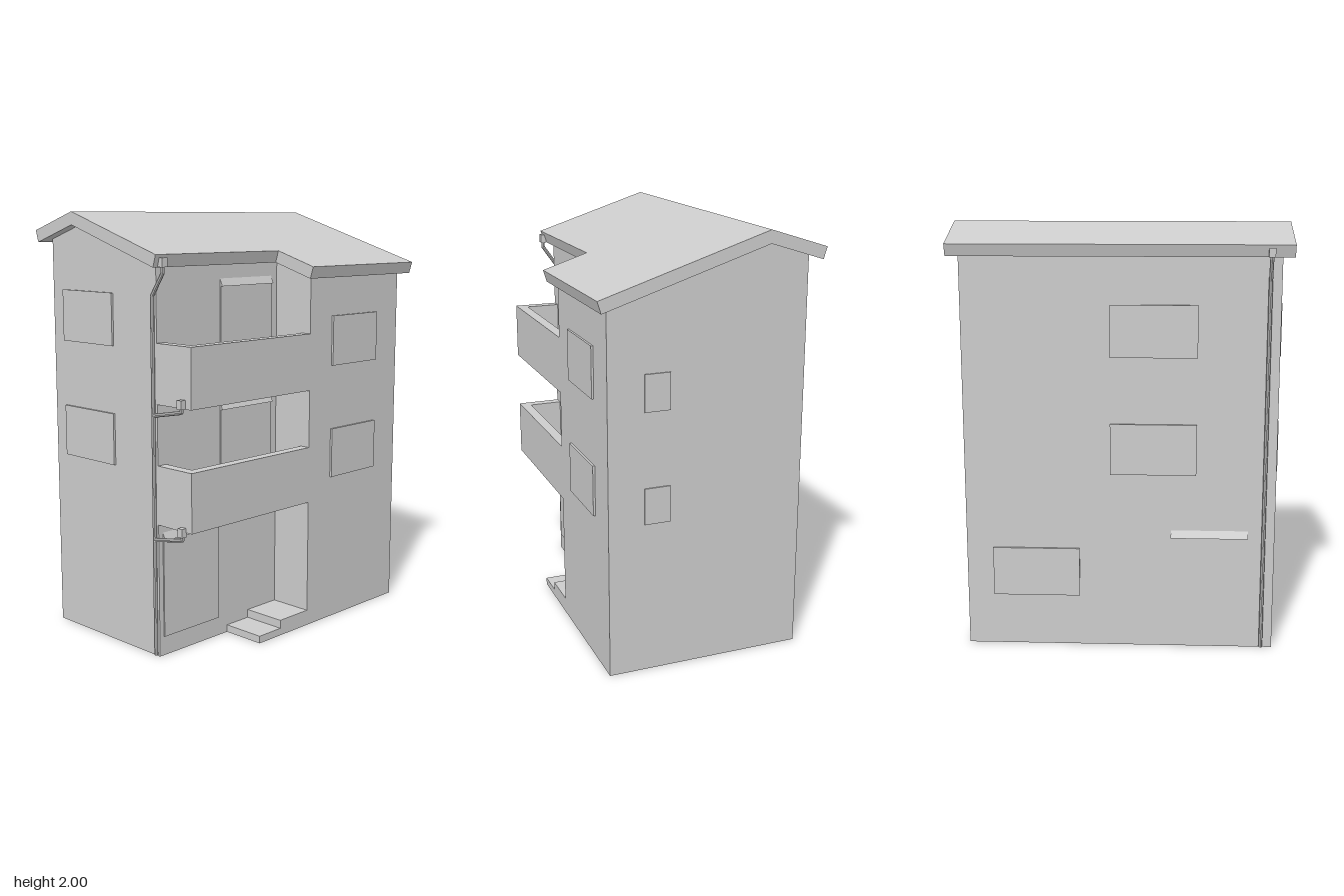
import * as THREE from 'three';

const mat = new THREE.MeshStandardMaterial({ color: 0xcccccc, flatShading: true });
const thin = new THREE.MeshStandardMaterial({ color: 0xcccccc, flatShading: true, side: THREE.DoubleSide });

// main dimensions
const L = -0.725, R = 0.725, STEP = 0.05;            // side walls and the return wall
const BACK = -0.465, RECESS = 0.26, FRONT = 0.475;   // back wall, recessed front, main front
const RIDGE = -0.255, SLOPE = 0.318;
const soffit = z => 1.94 - SLOPE * Math.abs(z - RIDGE);

export function createModel() {
  const house = new THREE.Group();
  house.name = 'house';

  const add = (name, geometry, material = mat) => {
    const mesh = new THREE.Mesh(geometry, material);
    mesh.name = name;
    house.add(mesh);
    return mesh;
  };

  // box given by its min and max corners
  const box = (name, x0, x1, y0, y1, z0, z1) => {
    add(name, new THREE.BoxGeometry(x1 - x0, y1 - y0, z1 - z0))
      .position.set((x0 + x1) / 2, (y0 + y1) / 2, (z0 + z1) / 2);
  };

  const shapeOf = pts => new THREE.Shape(pts.map(p => new THREE.Vector2(...p)));

  // flat wall: a 2D outline facing the given way at the given offset
  const wall = (name, pts, angle, x, z) => {
    const mesh = add(name, new THREE.ShapeGeometry(shapeOf(pts)), thin);
    mesh.rotation.y = angle;
    mesh.position.set(x, 0, z);
  };

  // (z, y) outline extruded along x
  const prismX = (name, pts, x0, x1) => {
    const g = new THREE.ExtrudeGeometry(shapeOf(pts.map(([z, y]) => [-z, y])), { depth: x1 - x0, bevelEnabled: false });
    g.rotateY(Math.PI / 2);
    add(name, g).position.x = x0;
  };

  // walls, open underneath
  const S1 = -0.29, S2 = -0.145, H1 = 0.035, H2 = 0.075; // entrance step edges and heights
  wall('mainFrontWall', [[STEP, 0], [R, 0], [R, soffit(FRONT)], [STEP, soffit(FRONT)]], 0, 0, FRONT);
  wall('recessedFrontWall', [[L, 0], [S1, 0], [S1, H1], [S2, H1], [S2, H2], [STEP, H2],
    [STEP, soffit(RECESS)], [L, soffit(RECESS)]], 0, 0, RECESS);
  wall('backWall', [[-R, 0], [-L, 0], [-L, soffit(BACK)], [-R, soffit(BACK)]], Math.PI, 0, BACK);
  wall('leftWall', [[-FRONT, 0], [-BACK, 0], [-BACK, soffit(BACK)], [-RIDGE, 1.94], [-FRONT, soffit(FRONT)]],
    Math.PI / 2, R, 0);
  wall('rightWall', [[BACK, 0], [RECESS, 0], [RECESS, soffit(RECESS)], [RIDGE, 1.94], [BACK, soffit(BACK)]],
    -Math.PI / 2, L, 0);
  wall('returnWall', [[RECESS, H2], [FRONT, H2], [FRONT, soffit(FRONT)], [RECESS, soffit(RECESS)]],
    -Math.PI / 2, STEP, 0);

  // entrance steps, hollow below: front face, then treads and risers
  wall('stepsFront', [[S1, 0], [STEP, 0], [STEP, H2], [S2, H2], [S2, H1], [S1, H1]], 0, 0, FRONT);
  const depth = FRONT - RECESS, midZ = (FRONT + RECESS) / 2;
  for (const [x0, x1, y0, y1] of [[S1, S2, 0, H1], [S2, STEP, H1, H2]]) {
    const tread = add('stepTread', new THREE.PlaneGeometry(x1 - x0, depth), thin);
    tread.rotation.x = -Math.PI / 2;
    tread.position.set((x0 + x1) / 2, y1, midZ);
    const riser = add('stepRiser', new THREE.PlaneGeometry(depth, y1 - y0), thin);
    riser.rotation.y = -Math.PI / 2;
    riser.position.set(x0, (y0 + y1) / 2, midZ);
  }

  // roof halves, the +x half reaching further forward
  const roof = (name, x0, x1, front) => {
    const top = z => 2 - SLOPE * Math.abs(z - RIDGE), back = -0.527, dz = 0.017, dy = 0.055;
    prismX(name, [[front, top(front)], [RIDGE, 2], [back, top(back)], [back + dz, top(back) - dy],
      [RIDGE, 1.94], [front - dz, top(front) - dy]].reverse(), x0, x1);
  };
  roof('roofRecessedSide', -0.775, 0, 0.315);
  roof('roofMainSide', 0, 0.775, 0.53);

  // balconies: floor slab with front and side parapets
  for (const y of [0.62, 1.165]) {
    box('balconyFloor', L, STEP, y, y + 0.03, RECESS, FRONT);
    box('balconyFrontParapet', L, STEP, y, y + 0.27, FRONT - 0.05, FRONT);
    box('balconySideParapet', L, L + 0.05, y, y + 0.27, RECESS, FRONT - 0.05);
  }

  // windows
  const T = 0.01;
  for (const y of [0.72, 1.27]) {
    box('frontWindow', 0.21, 0.55, y, y + 0.24, FRONT - T, FRONT + T);
    box('leftWindow', R - T, R + 0.006, y - (y > 1 ? 0.03 : 0), y + (y > 1 ? 0.14 : 0.17), 0.185, 0.305);
  }
  for (const y of [0.85, 1.4]) {
    box('backWindow', -0.355, 0.045, y, y + 0.24, BACK - T, BACK + T);
    box('rightWindow', L - T, L + T, y, y + 0.24, -0.385, -0.03);
  }
  box('backLowWindow', 0.19, 0.6, 0.25, 0.485, BACK - T, BACK + T);

  // doors, each with a sloping hood along the top
  const door = (name, x0, x1, y0, z, dir) => {
    const top = y0 + 0.49, low = top - 0.035;
    const [a, b] = [z - dir * T, z + dir * 0.006].sort((p, q) => p - q);
    box(name, x0, x1, y0, low, a, b);
    const hood = [[z - dir * T, low], [z + dir * 0.016, low], [z, top], [z - dir * T, top]];
    prismX(name + 'Hood', dir > 0 ? hood.reverse() : hood, x0, x1);
  };
  door('groundDoor', -0.7, -0.35, 0.09, RECESS, 1);
  door('lowerBalconyDoor', -0.335, 0.01, 0.64, RECESS, 1);
  door('upperBalconyDoor', -0.335, 0.01, 1.21, RECESS, 1);
  door('backDoor', -0.6, -0.24, 0.09, BACK, -1);

  // rainwater pipes through the given points
  const pipe = (name, pts) => {
    const path = new THREE.CurvePath();
    const v = pts.map(p => new THREE.Vector3(...p));
    for (let i = 1; i < v.length; i++) {
      const length = v[i].distanceTo(v[i - 1]);
      const dir = v[i].clone().sub(v[i - 1]).normalize();
      const g = new THREE.CylinderGeometry(0.009, 0.009, length + 0.004, 8);
      const m = add(name, g);
      m.position.copy(v[i]).add(v[i - 1]).multiplyScalar(0.5);
      m.quaternion.setFromUnitVectors(new THREE.Vector3(0, 1, 0), dir);
    }
  };
  const hopper = (x, y, z) => box('rainHopper', x - 0.015, x + 0.015, y, y + 0.04, z - 0.014, z + 0.014);

  const PX = L - 0.01, PZ = 0.245;
  pipe('frontDownpipe', [[PX, 1.77, 0.315], [PX, 1.74, 0.315], [PX, 1.64, PZ], [PX, 0.01, PZ]]);
  hopper(PX, 1.765, 0.315);
  for (const y of [0.6, 1.165]) {
    pipe('balconyDrainPipe', [[PX, y + 0.01, 0.425], [PX, y - 0.015, 0.425], [PX, y - 0.05, PZ]]);
    hopper(PX, y, 0.425);
  }
  pipe('backDownpipe', [[-0.672, 1.88, -0.515], [-0.672, 1.85, -0.515], [-0.672, 1.75, -0.482], [-0.672, 0.01, -0.482]]);
  hopper(-0.672, 1.86, -0.516);

  return house;
}
